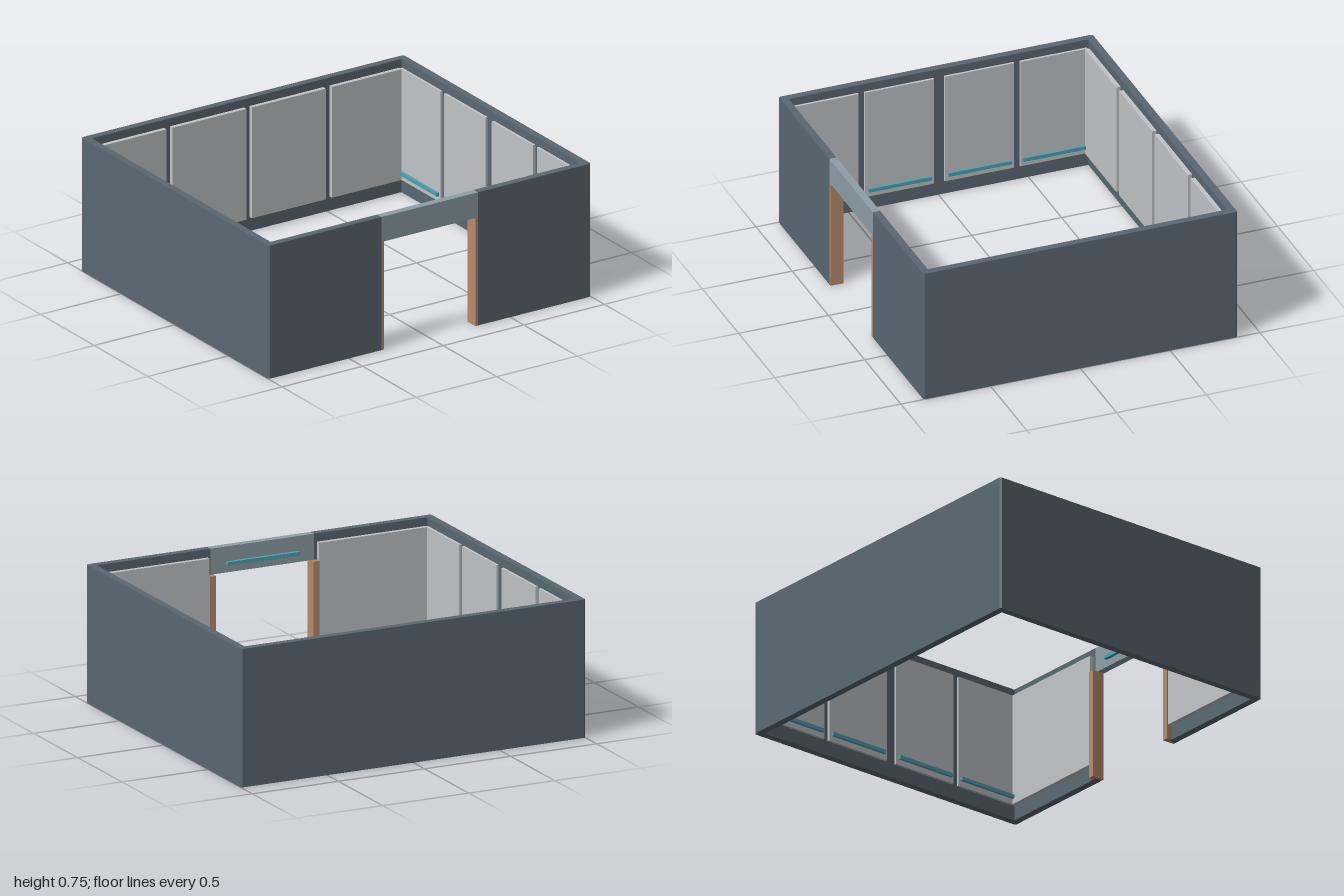
import * as THREE from 'three';

const material = (name, color) => {
  const m = new THREE.MeshStandardMaterial({ color });
  m.name = name;
  return m;
};

export function createModel() {
  const slate = material('slate wall', 0x5a6871);
  const pale = material('pale panel', 0xc0c5c8);
  const steel = material('grey lintel', 0x8d9fa6);
  const wood = material('brown wood', 0xb98b6c);
  const teal = material('teal rail', 0x4fa3b2);

  const model = new THREE.Group();
  model.name = 'room';

  // Box given by its limits on each axis
  const box = (name, mat, [x0, x1], [y0, y1], [z0, z1]) => {
    const mesh = new THREE.Mesh(new THREE.BoxGeometry(x1 - x0, y1 - y0, z1 - z0), mat);
    mesh.position.set((x0 + x1) / 2, (y0 + y1) / 2, (z0 + z1) / 2);
    mesh.name = name;
    model.add(mesh);
  };
  // Range mirrored to the other side when s is -1
  const side = (s, a, b) => (s > 0 ? [a, b] : [-b, -a]);

  const W = 1, D = 0.874, T = 0.04, H = 0.745, C = 0.008, DOOR = 0.3, HEAD = 0.605;

  // Walls: one plan outline with chamfered corners, open at the doorway
  const half = [
    [DOOR, D], [W - C, D], [W, D - C], [W, -D + C], [W - C, -D],
  ];
  const inner = [[W - T, -D + T], [W - T, D - T], [DOOR, D - T]];
  const flip = (pts) => pts.map(([x, z]) => [-x, z]).reverse();
  const plan = [...half, ...flip(half), ...flip(inner), ...inner];
  const shape = new THREE.Shape(plan.map(([x, z]) => new THREE.Vector2(x, -z)));
  const wallGeometry = new THREE.ExtrudeGeometry(shape, { depth: H, bevelEnabled: false });
  wallGeometry.rotateX(-Math.PI / 2);
  const walls = new THREE.Mesh(wallGeometry, slate);
  walls.name = 'walls';
  model.add(walls);

  // Lintel over the doorway, with its rail inside
  box('lintel', steel, [-DOOR, DOOR], [HEAD, H], [D - T, D]);
  box('lintelRail', teal, [-0.21, 0.21], [0.645, 0.665], [0.815, D - T]);

  const panelY = [0.08, 0.7];

  // Back wall panels
  for (const [a, b] of [[0.017, 0.475], [0.513, 0.945]]) {
    for (const s of [-1, 1]) box('backPanel', pale, side(s, a, b), panelY, [-D + T, -0.81]);
  }

  for (const s of [-1, 1]) {
    // Door frame: post behind the wall and jamb lining the opening
    box('doorPost', wood, side(s, DOOR, 0.318), [0, HEAD], [0.803, D - T]);
    box('doorJamb', wood, side(s, 0.283, DOOR), [0, HEAD], [0.803, D]);

    // Front wall panels
    box('frontPanel', pale, side(s, 0.318, 0.95), panelY, [0.81, D - T]);

    // Side wall panels, each with a low rail
    for (const [centre, width] of [[0.223, 0.386], [0.638, 0.376]]) {
      for (const e of [-1, 1]) {
        const z = centre * e;
        box('sidePanel', pale, side(s, 0.946, W - T), panelY, [z - width / 2, z + width / 2]);
        box('sideRail', teal, side(s, 0.932, 0.946), [0.11, 0.13], [z - 0.176, z + 0.176]);
      }
    }
  }
  return model;
}
